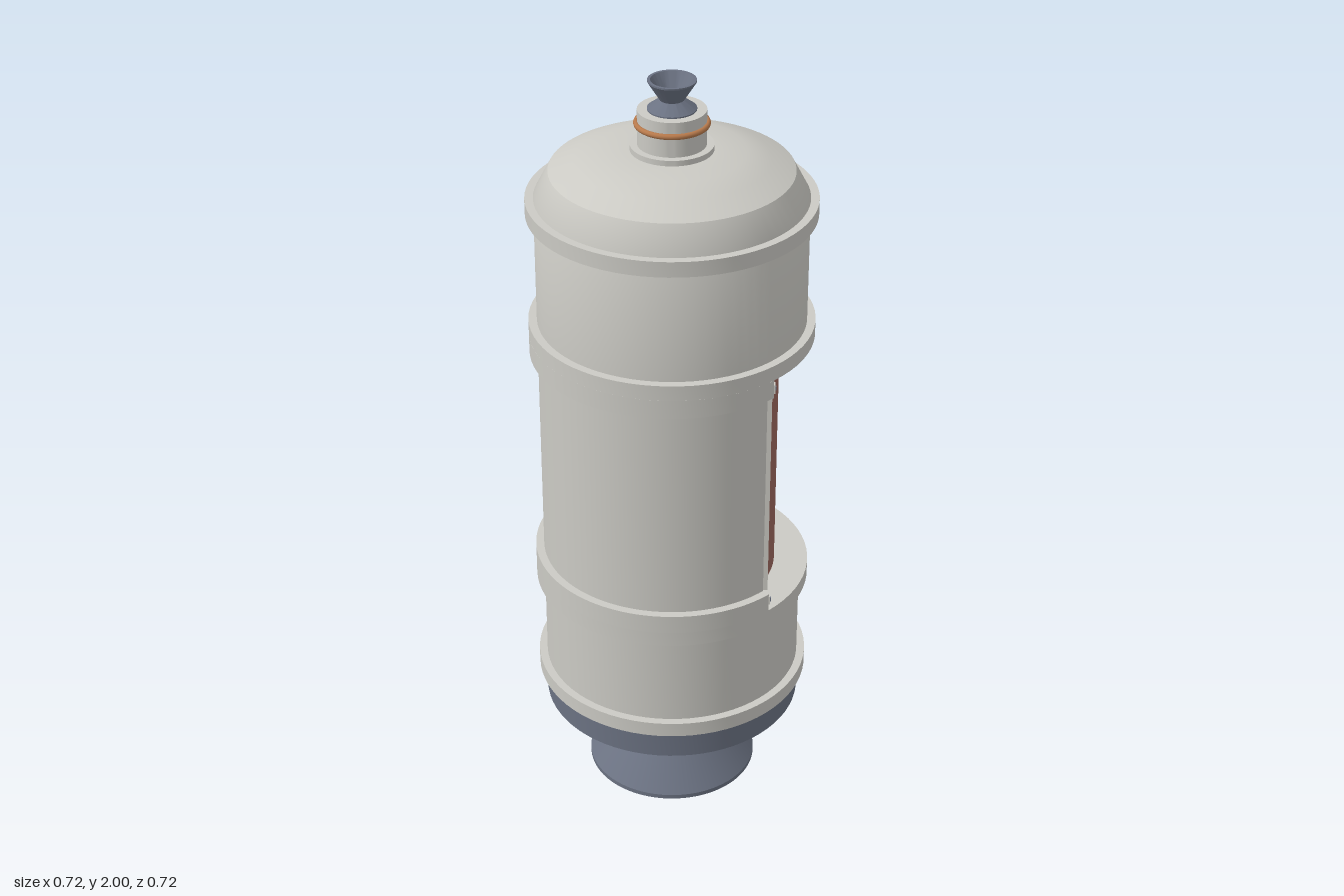
import * as THREE from 'three';
import { toCreasedNormals } from 'three/addons/utils/BufferGeometryUtils.js';

const SEGMENTS = 72;
const CREASE = 0.5;

function material(name, color) {
  const m = new THREE.MeshStandardMaterial({ color });
  m.name = name;
  return m;
}

export function createModel() {
  const model = new THREE.Group();
  model.name = 'capsule';
  const hull = material('light grey hull', 0xcbcac4);
  const slate = material('slate metal', 0x6b7282);
  const red = material('rust red core', 0x9a665c);
  const copper = material('copper', 0xb87a4c);

  const add = (name, geometry, mat) => {
    const mesh = new THREE.Mesh(geometry, mat);
    mesh.name = name;
    model.add(mesh);
    return mesh;
  };

  // Revolved part; the profile lists [radius, height] from the bottom up
  const turn = (name, profile, mat) => {
    const points = profile.map(([r, y]) => new THREE.Vector2(r, y));
    return add(name, toCreasedNormals(new THREE.LatheGeometry(points, SEGMENTS), CREASE), mat);
  };

  const ring = (name, inner, outer, y0, y1, mat) =>
    turn(name, [[inner, y0], [outer, y0], [outer, y1], [inner, y1]], mat);

  // Ring with a quarter left open towards +x, including its cut end faces
  const openRing = (name, inner, outer, y0, y1, mat) => {
    const a = Math.PI / 4, b = Math.PI * 7 / 4;
    const shape = new THREE.Shape();
    shape.absarc(0, 0, outer, a, b, false);
    shape.absarc(0, 0, inner, b, a, true);
    const g = new THREE.ExtrudeGeometry(shape, { depth: y1 - y0, bevelEnabled: false, curveSegments: 54 });
    g.rotateX(-Math.PI / 2);
    g.translate(0, y0, 0);
    return add(name, toCreasedNormals(g, CREASE), mat);
  };

  // Hull: closed lower section, open bay section, closed upper section with dome
  turn('lowerHull', [[0, 0.32], [0.337, 0.32], [0.337, 0.65], [0, 0.65]], hull);
  openRing('bayWall', 0.283, 0.337, 0.65, 1.33, hull);
  turn('upperHull', [
    [0, 1.33], [0.337, 1.33], [0.337, 1.70], [0.30, 1.77],
    [0.24, 1.798], [0.18, 1.818], [0.10, 1.822], [0, 1.822],
  ], hull);

  // Core seen through the bay opening
  turn('bayCore', [[0.27, 0.65], [0.27, 1.33]], red);

  // Raised bands; the two beside the bay are cut away inside the opening
  ring('bottomBand', 0.33, 0.358, 0.32, 0.36, hull);
  ring('topBand', 0.33, 0.358, 1.66, 1.70, hull);
  ring('lowerBayBand', 0.33, 0.358, 0.61, 0.65, hull);
  openRing('lowerBayBandEnds', 0.33, 0.358, 0.65, 0.70, hull);
  openRing('upperBayBandEnds', 0.33, 0.358, 1.28, 1.33, hull);
  ring('upperBayBand', 0.33, 0.358, 1.33, 1.37, hull);

  // Door rails and their small fasteners, mirrored on both sides of the bay
  for (const side of [1, -1]) {
    const rail = add('bayRail', new THREE.BoxGeometry(0.03, 0.58, 0.013), hull);
    rail.position.set(0.235, 0.99, side * 0.227);
    for (const y of [0.678, 1.302]) {
      const clip = add('railClip', new THREE.BoxGeometry(0.016, 0.024, 0.016), hull);
      clip.position.set(0.249, y, side * 0.242);
      const bolt = add('railBolt', new THREE.BoxGeometry(0.004, 0.01, 0.007), slate);
      bolt.position.set(0.257, y, side * 0.242);
    }
  }

  // Engine base and stepped mount
  turn('engineBase', [[0, 0.24], [0.339, 0.24], [0.339, 0.32], [0, 0.32]], slate);
  turn('engineMount', [[0, 0.145], [0.12, 0.145], [0.232, 0.21], [0.232, 0.242]], slate);

  // Hollow engine bell
  turn('engineBell', [
    [0.07, 0.142], [0.10, 0.13], [0.216, 0.004], [0.218, 0],
    [0.225, 0], [0.225, 0.012], [0.122, 0.147], [0.07, 0.147],
  ], slate);
  ring('throatRing', 0.045, 0.07, 0.134, 0.145, hull);

  // Neck on the dome with copper seal
  turn('neck', [
    [0.102, 1.815], [0.102, 1.836], [0.084, 1.836], [0.084, 1.925], [0, 1.925],
  ], hull);
  const seal = add('neckSeal', new THREE.TorusGeometry(0.086, 0.007, 10, SEGMENTS), copper);
  seal.rotation.x = Math.PI / 2;
  seal.position.y = 1.89;

  // Small hollow nozzle on the neck
  turn('topNozzle', [
    [0.06, 1.92], [0.06, 1.928], [0.03, 1.95], [0.059, 1.996], [0.059, 2.0],
    [0.052, 2.0], [0.022, 1.95], [0.022, 1.926],
  ], slate);

  return model;
}
